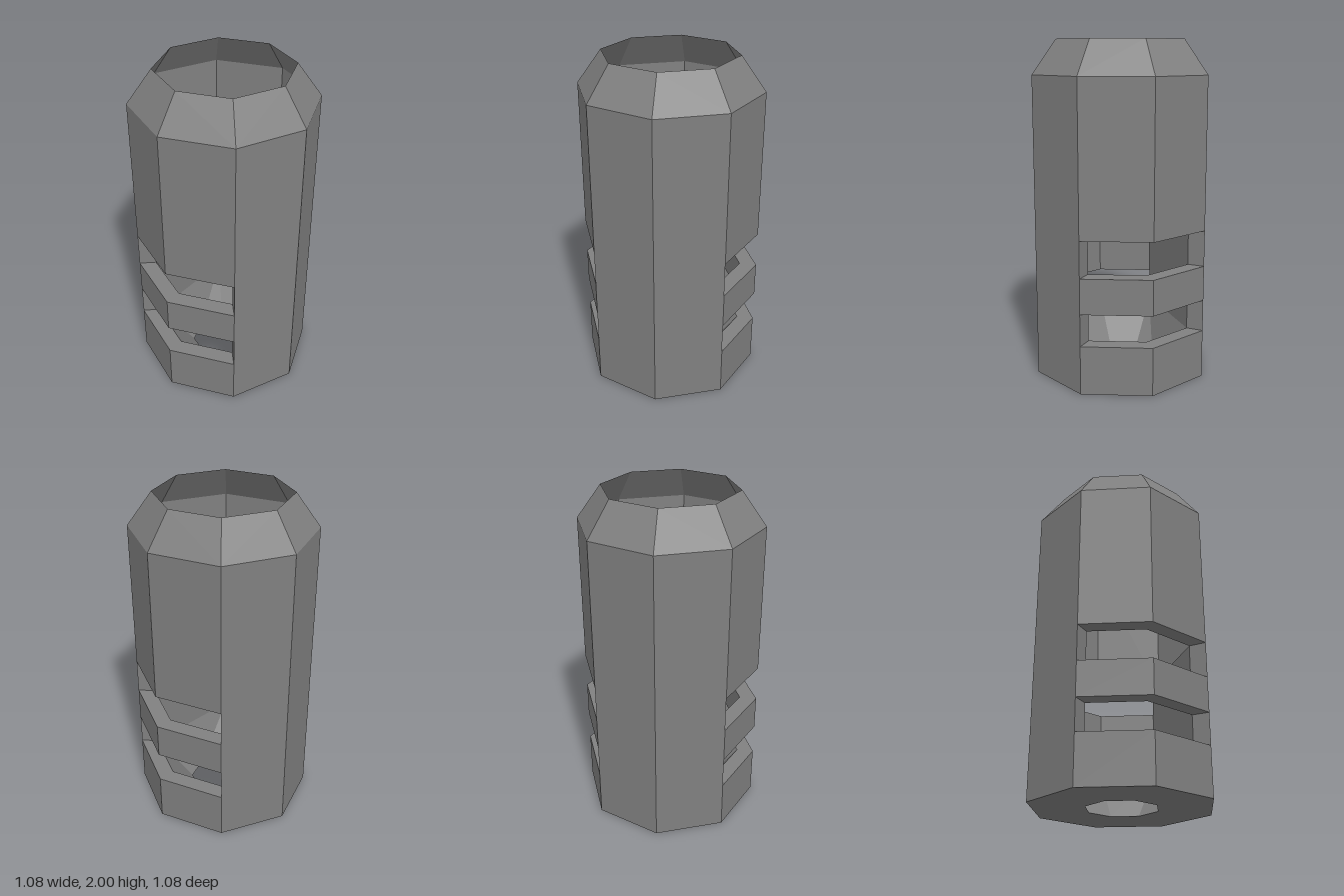
import * as THREE from 'three';

// Eight-sided ring of [x, z] points, starting at +x and turning towards +z
const ring = (r) => Array.from({ length: 8 }, (_, i) => {
  const a = (i * Math.PI) / 4;
  return [r * Math.cos(a), r * Math.sin(a)];
});

const ALL = [0, 1, 2, 3, 4, 5, 6, 7];
const SIDES = [7, 0, 3, 4]; // facets cut by the slots
const WALLS = [1, 2, 5, 6]; // unbroken front and back facets

// Faces joining ring A at height ya to ring B at height yb
function strip(A, ya, B, yb, segs = ALL) {
  const out = [];
  for (const i of segs) {
    const j = (i + 1) % 8;
    const a = [A[i][0], ya, A[i][1]], d = [A[j][0], ya, A[j][1]];
    const b = [B[i][0], yb, B[i][1]], c = [B[j][0], yb, B[j][1]];
    // the diagonal alternates so that the funnel creases mirror
    if (i % 2) out.push(...a, ...b, ...c, ...a, ...c, ...d);
    else out.push(...a, ...b, ...d, ...b, ...c, ...d);
  }
  return out;
}

export function createModel() {
  const group = new THREE.Group();
  const grey = new THREE.MeshStandardMaterial({ color: 0x808080, flatShading: true, side: THREE.DoubleSide });
  grey.name = 'metalGrey';

  const add = (name, ...parts) => {
    const g = new THREE.BufferGeometry();
    g.setAttribute('position', new THREE.Float32BufferAttribute(parts.flat(), 3));
    g.computeVertexNormals();
    const mesh = new THREE.Mesh(g, grey);
    mesh.name = name;
    group.add(mesh);
  };

  const outer = ring(0.54), rim = ring(0.395), hole = ring(0.212);
  // inner chamber: octagon flattened at front and back
  const inner = ring(0.438);
  inner[2] = [0, 0.31];
  inner[6] = [0, -0.31];

  const slots = [[0.29, 0.48], [0.69, 0.905]];
  const floorY = 0.29, chamberTop = 0.905, shoulder = 1.8, top = 2;

  // Outer shell
  add('frontAndBackWalls', strip(outer, 0, outer, shoulder, WALLS));
  add('lowerSideWalls', strip(outer, 0, outer, slots[0][0], SIDES));
  add('middleSideBands', strip(outer, slots[0][1], outer, slots[1][0], SIDES));
  add('upperSideWalls', strip(outer, slots[1][1], outer, shoulder, SIDES));
  add('topChamfer', strip(outer, shoulder, rim, top));

  // Base with its hole, and the funnel above it
  add('base', strip(hole, 0, outer, 0));
  add('funnel', strip(inner, floorY, hole, 0));

  // Chamber between the slots
  add('chamberWalls', strip(inner, chamberTop, inner, floorY, WALLS));
  add('middleBandInside', strip(inner, slots[1][0], inner, slots[0][1], SIDES));
  add('chamberTopLedge', strip(outer, chamberTop, inner, chamberTop, WALLS));

  // Slot sills, ceilings and end faces
  slots.forEach(([y0, y1], n) => {
    const ends = [];
    for (const i of [1, 3, 5, 7]) {
      const [ox, oz] = outer[i], [ix, iz] = inner[i];
      ends.push(ox, y0, oz, ix, y0, iz, ix, y1, iz, ox, y0, oz, ix, y1, iz, ox, y1, oz);
    }
    add(n ? 'upperSlots' : 'lowerSlots',
      strip(outer, y0, inner, y0, SIDES), strip(inner, y1, outer, y1, SIDES), ends);
  });

  return group;
}
